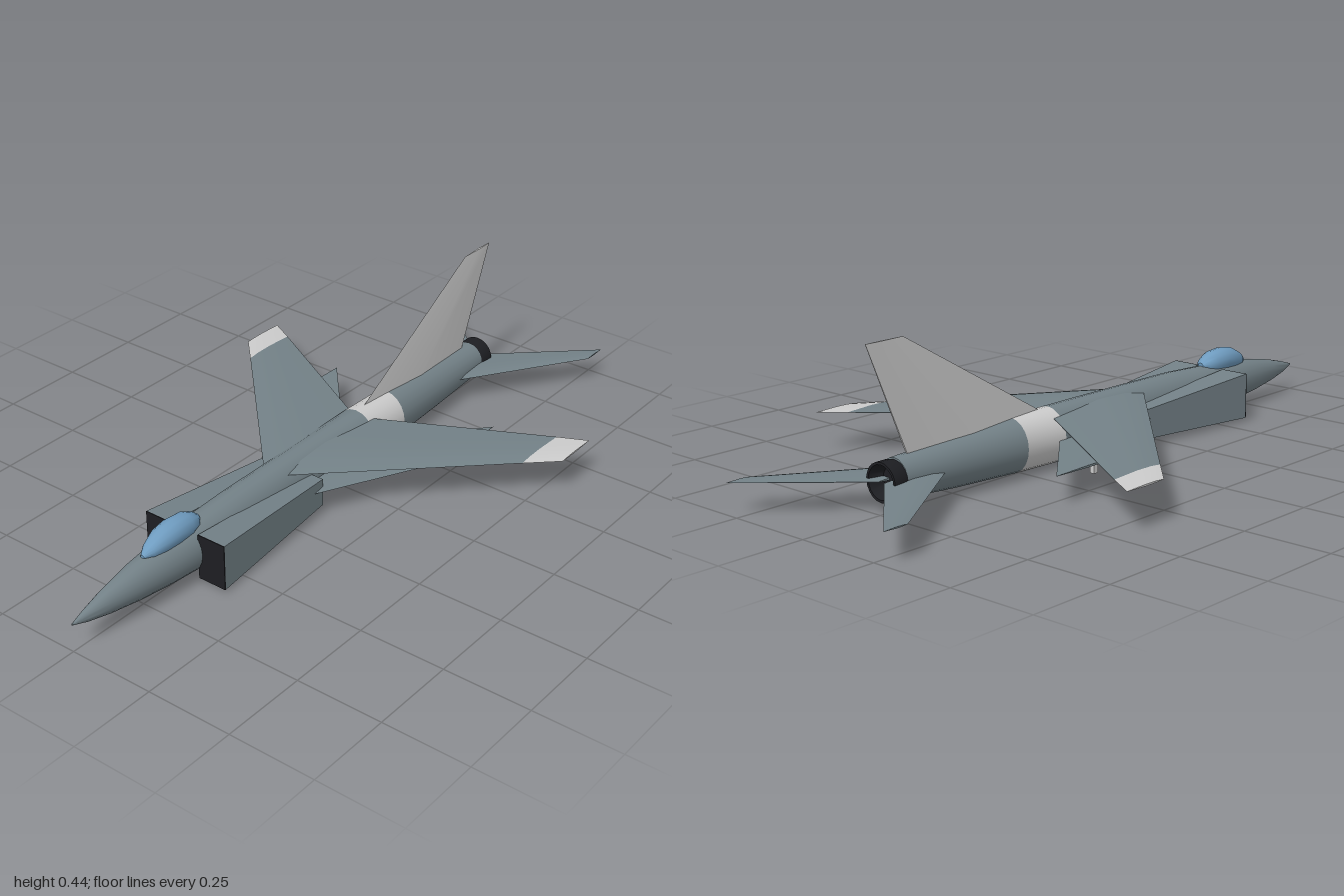
import * as THREE from 'three';
import { toCreasedNormals } from 'three/addons/utils/BufferGeometryUtils.js';

const paint = (color) => new THREE.MeshStandardMaterial({ color, side: THREE.DoubleSide });
const GREY = paint(0x738187);
const PALE = paint(0xcfcccb);
const DARK = paint(0x1d1e22);
const GLASS = paint(0x6f9cc0);

// Skin a row of equal-length closed rings, cap both ends, and face it outward.
function loft(rings, crease = 0.6) {
  const n = rings[0].length;
  const pos = rings.flat(2);
  const idx = [];
  for (let r = 0; r < rings.length - 1; r++) {
    for (let i = 0; i < n; i++) {
      const a = r * n + i, b = r * n + (i + 1) % n;
      idx.push(a, b, b + n, a, b + n, a + n);
    }
  }
  const last = (rings.length - 1) * n;
  for (let i = 1; i < n - 1; i++) {
    idx.push(0, i + 1, i, last, last + i, last + i + 1);
  }
  // signed volume tells whether the faces point inward
  const v = (i) => new THREE.Vector3().fromArray(pos, i * 3);
  let volume = 0;
  for (let i = 0; i < idx.length; i += 3) {
    volume += v(idx[i]).dot(v(idx[i + 1]).cross(v(idx[i + 2])));
  }
  if (volume < 0) idx.reverse();
  const g = new THREE.BufferGeometry();
  g.setAttribute('position', new THREE.Float32BufferAttribute(pos, 3));
  g.setIndex(idx);
  return toCreasedNormals(g, crease);
}

// Elliptical hull ring: station z, half width, bottom and top height.
function hullRing([z, w, bottom, top], sides = 20) {
  const ring = [];
  for (let i = 0; i < sides; i++) {
    const a = (i / sides) * Math.PI * 2;
    ring.push([w * Math.sin(a), (top + bottom) / 2 + (top - bottom) / 2 * Math.cos(a), z]);
  }
  return ring;
}

// Thin foil ring at span x, height y, leading and trailing z, thickness t.
function foilRing(side, [x, y, lead, trail, t]) {
  const shape = [[0, 0], [0.2, 0.4], [0.5, 0.5], [1, 0.05], [1, -0.05], [0.5, -0.5], [0.2, -0.4]];
  return shape.map(([f, h]) => [side * x, y + h * t, lead + (trail - lead) * f]);
}

function boxRing(side, x0, x1, y0, y1, z) {
  return [[side * x0, y0, z], [side * x1, y0, z], [side * x1, y1, z], [side * x0, y1, z]];
}

export function createModel() {
  const model = new THREE.Group();
  const add = (name, geometry, material) => {
    const mesh = new THREE.Mesh(geometry, material);
    mesh.name = name;
    model.add(mesh);
    return mesh;
  };

  // Fuselage with a pale band behind the wings
  const bandFront = [-0.135, 0.069, 0.007, 0.166];
  const bandRear = [-0.28, 0.066, 0.011, 0.163];
  const foreStations = [
    [0.998, 0.002, 0.083, 0.087], [0.95, 0.014, 0.067, 0.102], [0.88, 0.028, 0.052, 0.12],
    [0.78, 0.043, 0.037, 0.139], [0.68, 0.054, 0.027, 0.15], [0.58, 0.06, 0.02, 0.157],
    [0.4, 0.061, 0.012, 0.166], [0.2, 0.062, 0.006, 0.167], [0, 0.065, 0.005, 0.167], bandFront,
  ];
  const aftStations = [bandRear, [-0.5, 0.058, 0.021, 0.154], [-0.7, 0.05, 0.035, 0.144]];
  add('forwardFuselage', loft(foreStations.map((s) => hullRing(s))), GREY);
  add('fuselageBand', loft([bandFront, bandRear].map((s) => hullRing(s))), PALE);
  add('rearFuselage', loft(aftStations.map((s) => hullRing(s))), GREY);

  // Canopy
  const canopy = [
    [0.745, 0.006, 0.141, 0.15], [0.72, 0.022, 0.13, 0.172], [0.68, 0.033, 0.125, 0.193],
    [0.635, 0.037, 0.125, 0.2], [0.585, 0.034, 0.125, 0.196], [0.555, 0.025, 0.135, 0.182],
    [0.538, 0.01, 0.145, 0.168],
  ];
  add('canopy', loft(canopy.map((s) => hullRing(s, 14))), GLASS);

  // Hollow exhaust nozzle
  const nozzleProfile = [[0.05, 0], [0.053, 0.012], [0.053, 0.048], [0.046, 0.048], [0.032, 0.01], [0, 0.01]]
    .map(([r, h]) => new THREE.Vector2(r, h));
  const nozzle = add('exhaustNozzle', toCreasedNormals(new THREE.LatheGeometry(nozzleProfile, 20), 0.6), DARK);
  nozzle.rotation.x = -Math.PI / 2;
  nozzle.position.set(0, 0.089, -0.698);

  // Vertical fin: diamond sections stacked upward
  const finRing = (y, lead, trail, t) => [
    [0, y, lead], [t, y, lead + (trail - lead) * 0.55], [0.2 * t, y, trail],
    [-0.2 * t, y, trail], [-t, y, lead + (trail - lead) * 0.55],
  ];
  add('tailFin', loft([finRing(0.14, -0.13, -0.655, 0.015), finRing(0.446, -0.66, -0.785, 0.003)], 0.3), PALE);

  for (const [label, side] of [['left', 1], ['right', -1]]) {
    // Swept main wing with pale tip
    const root = [0.03, 0.144, 0.235, -0.15, 0.026];
    const tipStart = [0.485, 0.121, -0.248, -0.425, 0.009];
    const tip = [0.563, 0.117, -0.33, -0.47, 0.005];
    add(label + 'Wing', loft([root, tipStart].map((s) => foilRing(side, s))), GREY);
    add(label + 'WingTip', loft([tipStart, tip].map((s) => foilRing(side, s))), PALE);

    // Lower fin with its small pylon
    add(label + 'LowerFin', loft([
      foilRing(side, [0.05, 0.086, 0.28, -0.14, 0.011]),
      foilRing(side, [0.283, 0.086, -0.17, -0.412, 0.006]),
    ]), GREY);
    const pylon = add(label + 'Pylon', new THREE.BoxGeometry(0.013, 0.036, 0.016), PALE);
    pylon.position.set(side * 0.25, 0.067, -0.23);

    // Tailplane
    add(label + 'Tailplane', loft([
      foilRing(side, [0.01, 0.088, -0.51, -0.745, 0.016]),
      foilRing(side, [0.287, 0.088, -0.925, -1, 0.004]),
    ]), GREY);

    // Tapered intake box with dark mouth
    add(label + 'Intake', loft([
      boxRing(side, 0.045, 0.133, 0.014, 0.147, 0.585),
      boxRing(side, 0.045, 0.098, 0.03, 0.112, 0.14),
    ]), GREY);
    add(label + 'IntakeMouth', loft([
      boxRing(side, 0.045, 0.133, 0.014, 0.147, 0.588),
      boxRing(side, 0.045, 0.133, 0.014, 0.147, 0.585),
    ]), DARK);
  }
  return model;
}
